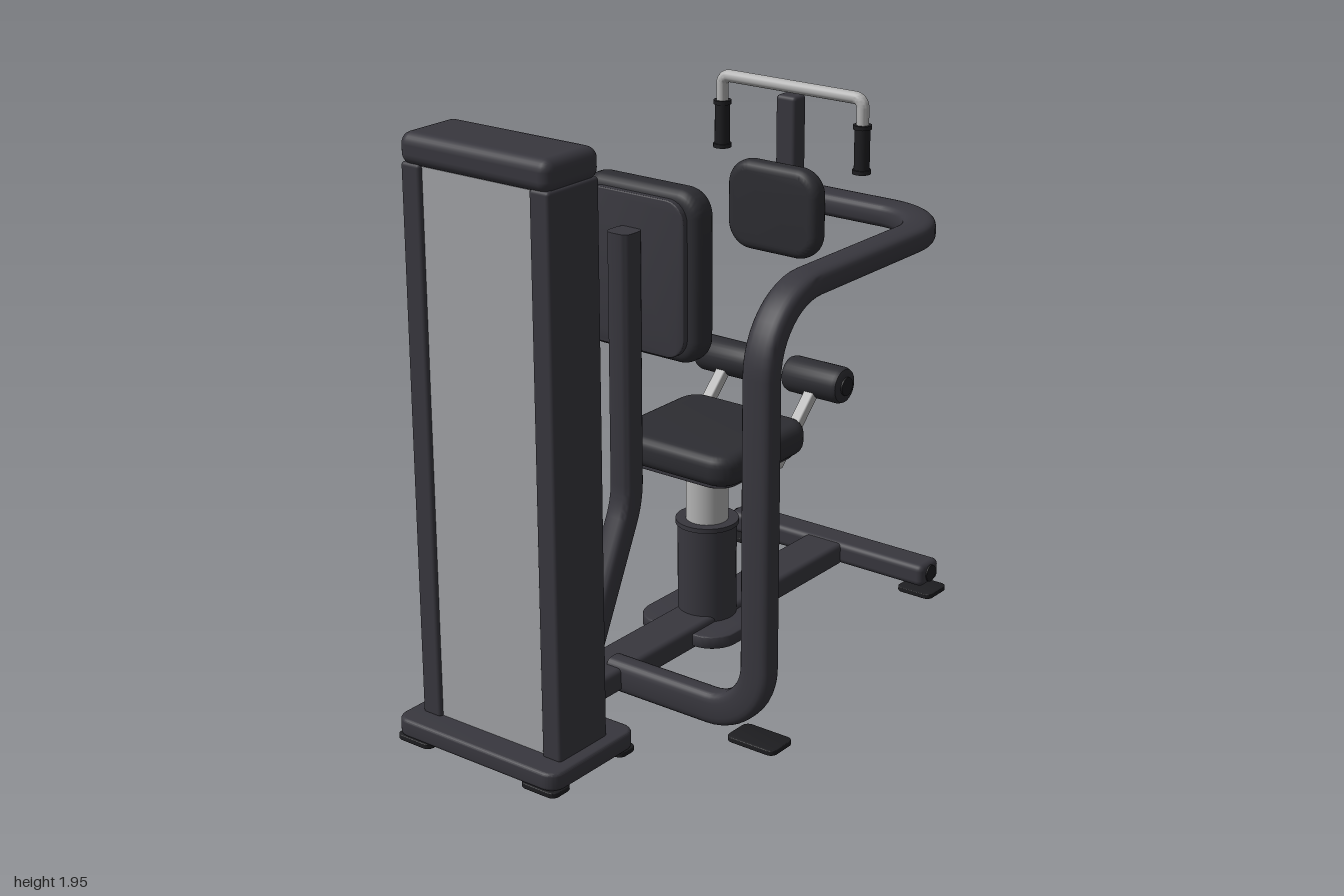
import * as THREE from 'three';
import { toCreasedNormals } from 'three/addons/utils/BufferGeometryUtils.js';
import { RoundedBoxGeometry } from 'three/addons/geometries/RoundedBoxGeometry.js';

const V = (x, y, z) => new THREE.Vector3(x, y, z);
const mat = (name, color) => {
  const m = new THREE.MeshStandardMaterial({ color });
  m.name = name;
  return m;
};

// Plate with rounded corners and softened rims; w by h outline, d thick, centred
function slab(w, h, d, corner, bevel) {
  const x = w / 2 - bevel, y = h / 2 - bevel, r = corner - bevel;
  const s = new THREE.Shape();
  s.moveTo(-x + r, -y);
  s.absarc(x - r, -y + r, r, -Math.PI / 2, 0);
  s.absarc(x - r, y - r, r, 0, Math.PI / 2);
  s.absarc(-x + r, y - r, r, Math.PI / 2, Math.PI);
  s.absarc(-x + r, -y + r, r, Math.PI, Math.PI * 1.5);
  const g = new THREE.ExtrudeGeometry(s, {
    depth: d - 2 * bevel, bevelThickness: bevel, bevelSize: bevel, bevelSegments: 5, curveSegments: 8,
  });
  g.translate(0, 0, -d / 2 + bevel);
  return toCreasedNormals(g, 0.6);
}

// Flat-oval bar swept along corners [point, bendRadius]; a is the half size along 'up', b the other
function bentBar(corners, up, a, b, power = 0.6, sides = 24) {
  const path = [];
  corners.forEach(([p, r], i) => {
    const d1 = i ? p.clone().sub(corners[i - 1][0]).normalize() : null;
    const d2 = i < corners.length - 1 ? corners[i + 1][0].clone().sub(p).normalize() : null;
    if (!d1 || !d2) { path.push([p, d1 || d2]); return; }
    const angle = d1.angleTo(d2);
    const n = d2.clone().addScaledVector(d1, -d1.dot(d2)).normalize();
    const start = p.clone().addScaledVector(d1, -r * Math.tan(angle / 2));
    for (let k = 0; k <= 12; k++) {
      const f = angle * k / 12;
      path.push([
        start.clone().addScaledVector(d1, r * Math.sin(f)).addScaledVector(n, r * (1 - Math.cos(f))),
        d1.clone().multiplyScalar(Math.cos(f)).addScaledVector(n, Math.sin(f)),
      ]);
    }
  });
  const pos = [], idx = [], u = up.clone(), q = new THREE.Quaternion();
  const soft = (t) => Math.sign(t) * Math.abs(t) ** power;
  path.forEach(([p, t], i) => {
    if (i) u.applyQuaternion(q.setFromUnitVectors(path[i - 1][1], t));
    const v = t.clone().cross(u);
    for (let j = 0; j < sides; j++) {
      const f = j / sides * Math.PI * 2;
      const c = p.clone().addScaledVector(u, a * soft(Math.cos(f))).addScaledVector(v, b * soft(Math.sin(f)));
      pos.push(c.x, c.y, c.z);
      const k = (j + 1) % sides, o = i * sides;
      if (i < path.length - 1) idx.push(o + j, o + k, o + sides + j, o + k, o + sides + k, o + sides + j);
    }
  });
  const first = pos.length / 3, last = (path.length - 1) * sides;
  [path[0][0], path[path.length - 1][0]].forEach((p) => pos.push(p.x, p.y, p.z));
  for (let j = 0; j < sides; j++) {
    const k = (j + 1) % sides;
    idx.push(first, k, j, first + 1, last + j, last + k);
  }
  const g = new THREE.BufferGeometry();
  g.setAttribute('position', new THREE.Float32BufferAttribute(pos, 3));
  g.setIndex(idx);
  return toCreasedNormals(g, 0.7);
}

export function createModel() {
  const frame = mat('frame charcoal', 0x38373e);
  const cushion = mat('cushion black', 0x2d2d32);
  const rubber = mat('rubber black', 0x1e1e21);
  const steel = mat('brushed steel', 0xb4b4b4);
  const panel = mat('grey panel', 0xa2a3a7);
  const model = new THREE.Group();
  const CX = -0.117; // centre line of the machine

  const add = (name, geo, material, x = 0, y = 0, z = 0, rx = 0, rz = 0) => {
    const m = new THREE.Mesh(geo, material);
    m.name = name;
    m.position.set(x, y, z);
    m.rotation.set(rx, 0, rz);
    model.add(m);
    return m;
  };
  const box = (w, h, d, r = 0.01) => new RoundedBoxGeometry(w, h, d, 3, r);
  const cyl = (r, h, r2 = r) => new THREE.CylinderGeometry(r, r2, h, 32);
  const FLAT = -Math.PI / 2;

  // Weight tower
  add('towerBase', slab(0.655, 0.4, 0.06, 0.05, 0.012), frame, CX, 0.048, 0.8, FLAT);
  for (const s of [-1, 1]) {
    add('towerPost', box(0.074, 1.79, 0.225, 0.012), frame, CX + s * 0.2455, 0.965, 0.805);
    add('guideRod', cyl(0.011, 1.2), steel, CX + s * 0.12, 1.25, 0.79);
  }
  add('towerCap', box(0.572, 0.1, 0.24, 0.036), frame, CX, 1.9, 0.805);
  add('towerFrontPanel', new THREE.BoxGeometry(0.42, 1.78, 0.012), panel, CX, 0.963, 0.898);
  add('towerRearPanel', new THREE.BoxGeometry(0.42, 0.36, 0.012), panel, CX, 1.68, 0.71);

  // Weight stack, number tabs, carriage and selector pin
  const plates = 13, pitch = 0.04;
  for (let i = 0; i < plates; i++) {
    const y = 0.098 + i * pitch;
    add('weightPlate', box(0.355, pitch - 0.007, 0.14, 0.004), rubber, CX, y, 0.79);
    add('weightTab', new THREE.BoxGeometry(0.035, 0.014, 0.006), steel, 0.014, y, 0.719);
  }
  add('stackCore', new THREE.BoxGeometry(0.34, plates * pitch, 0.12), frame, CX, 0.34, 0.79);
  add('stackTopPlate', box(0.36, 0.05, 0.145, 0.006), steel, CX, 0.628, 0.79);
  add('stackStem', cyl(0.02, 0.1), steel, CX, 0.69, 0.79);
  add('selectorPin', cyl(0.009, 0.07), steel, CX, 0.52, 0.695, FLAT);
  add('selectorKnob', cyl(0.016, 0.03), steel, CX, 0.52, 0.67, FLAT);

  // Floor rail and rear crossbar
  add('floorRail', box(0.158, 0.08, 1.53, 0.018), frame, CX, 0.072, -0.135);
  add('rearCrossbar', box(0.85, 0.08, 0.115, 0.022), frame, CX, 0.075, -0.937);
  for (const s of [-1, 1]) {
    add('crossbarEndCap', cyl(0.03, 0.008), rubber, CX + s * 0.425, 0.075, -0.937, 0, Math.PI / 2);
  }

  // Rubber floor pads
  const foot = (x, z, w, d) => add('floorPad', slab(w, d, 0.018, 0.025, 0.004), rubber, x, 0.009, z, FLAT);
  for (const s of [-1, 1]) {
    foot(CX + s * 0.39, -0.938, 0.14, 0.122);
    foot(CX + s * 0.255, 0.955, 0.14, 0.09);
    foot(CX + s * 0.255, 0.64, 0.14, 0.08);
  }
  foot(0.482, 0.33, 0.185, 0.115);

  // Side arm: floor outrigger, upright, overhead reach and return to the centre
  add('sideArm', bentBar([
    [V(-0.1, 0.075, 0.333)], [V(0.481, 0.075, 0.333), 0.185], [V(0.481, 1.455, 0.333), 0.24],
    [V(0.481, 1.455, -0.662), 0.21], [V(-0.12, 1.455, -0.662)],
  ], V(0, 1, 0), 0.056, 0.041), frame);

  // Back pad with its post
  add('backPost', bentBar([
    [V(CX, 0.08, 0.5)], [V(CX, 0.64, 0.237), 0.3], [V(CX, 1.54, 0.237)],
  ], V(1, 0, 0), 0.045, 0.045), frame);
  add('backPadPlate', slab(0.4, 0.51, 0.025, 0.07, 0.005), frame, CX, 1.395, 0.185);
  add('backPad', slab(0.48, 0.565, 0.1, 0.085, 0.038), cushion, CX, 1.398, 0.127);

  // Chest pad, handle post and handlebar
  add('chestPad', slab(0.37, 0.31, 0.076, 0.09, 0.032), cushion, CX, 1.425, -0.572);
  add('handlePost', box(0.08, 0.475, 0.068, 0.014), frame, CX, 1.562, -0.648);
  add('handlebar', bentBar([
    [V(CX - 0.285, 1.6, -0.65)], [V(CX - 0.285, 1.825, -0.65), 0.03],
    [V(CX + 0.285, 1.825, -0.65), 0.03], [V(CX + 0.285, 1.6, -0.65)],
  ], V(0, 0, 1), 0.021, 0.021, 1), steel);
  for (const s of [-1, 1]) {
    const x = CX + s * 0.285;
    add('handGrip', cyl(0.026, 0.16), rubber, x, 1.657, -0.65);
    for (const y of [1.582, 1.732]) add('gripCollar', cyl(0.031, 0.014), rubber, x, y, -0.65);
  }

  // Seat and its telescopic column
  add('columnFoot', slab(0.37, 0.37, 0.045, 0.1, 0.008), frame, CX, 0.07, -0.19, FLAT);
  add('columnSleeve', cyl(0.1, 0.345), frame, CX, 0.26, -0.19);
  add('sleeveCollar', cyl(0.107, 0.016), frame, CX, 0.427, -0.19);
  add('seatColumn', cyl(0.072, 0.24), steel, CX, 0.53, -0.19);
  add('seatPlate', slab(0.42, 0.43, 0.025, 0.07, 0.004), frame, CX, 0.652, -0.215, FLAT);
  add('seatCushion', slab(0.51, 0.485, 0.108, 0.085, 0.038), cushion, CX, 0.713, -0.198, FLAT);

  // Leg rollers on slanted arms
  const roll = [[0, -0.115], [0.045, -0.115], [0.058, -0.109], [0.063, -0.096],
    [0.063, 0.096], [0.058, 0.109], [0.045, 0.115], [0, 0.115]].map(([r, y]) => new THREE.Vector2(r, y));
  for (const s of [-1, 1]) {
    const x = CX + s * 0.185;
    add('rollerArm', box(0.04, 0.34, 0.036, 0.006), steel, x, 0.742, -0.443, -0.8);
    add('legRoller', toCreasedNormals(new THREE.LatheGeometry(roll, 32), 0.7), cushion, x, 0.86, -0.563, 0, Math.PI / 2);
    for (const e of [-1, 1]) {
      add('rollerCap', cyl(0.032, 0.01), rubber, x + e * 0.116, 0.86, -0.563, 0, Math.PI / 2);
    }
  }
  return model;
}
